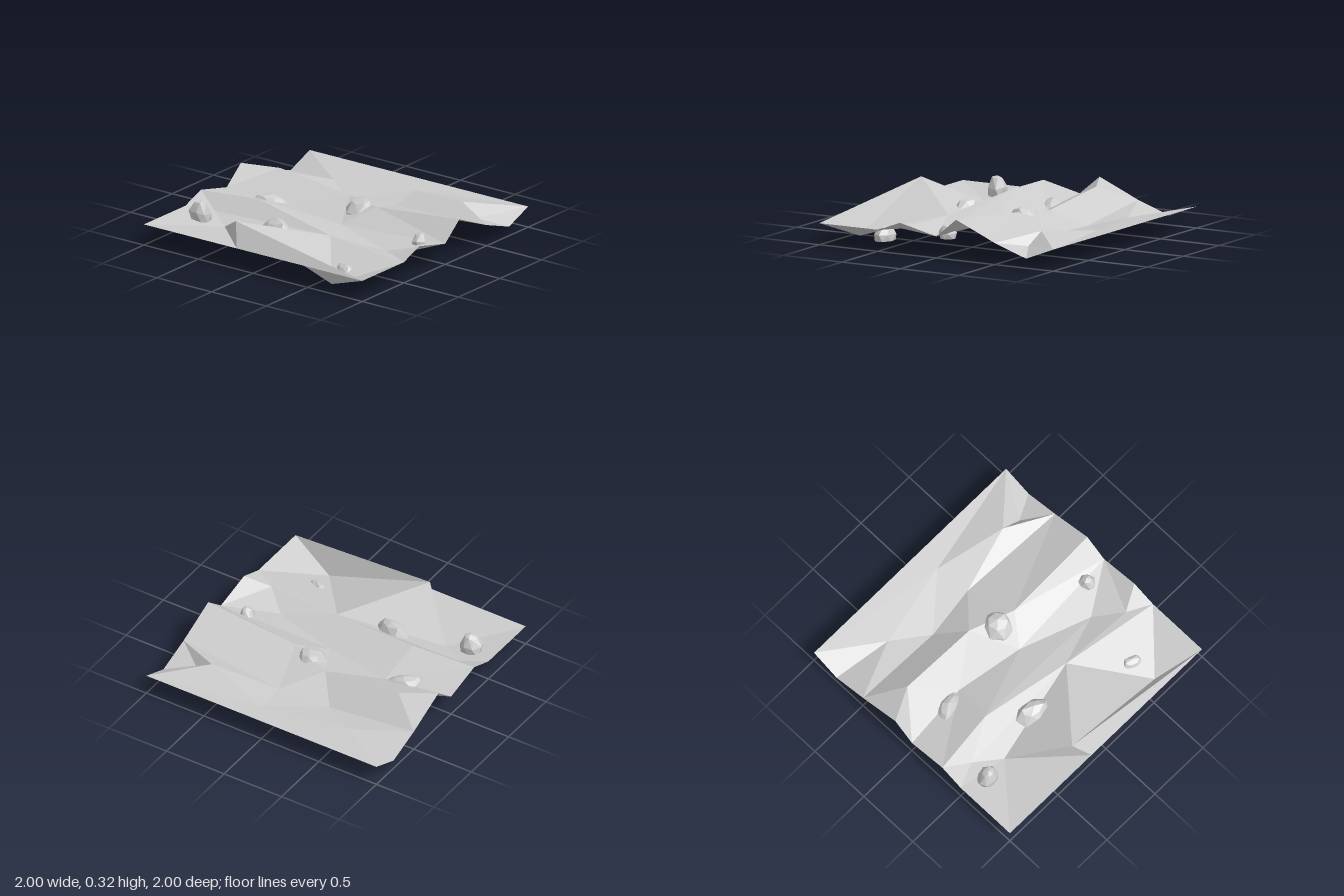
import * as THREE from 'three';

const material = new THREE.MeshStandardMaterial({ color: 0xcccccc, flatShading: true, side: THREE.DoubleSide });

function meshFrom(triangles, name) {
  const geometry = new THREE.BufferGeometry().setFromPoints(triangles.flat());
  geometry.computeVertexNormals();
  const mesh = new THREE.Mesh(geometry, material);
  mesh.name = name;
  return mesh;
}

// Ground ridges and valleys from back to front, each point is x, y, z
const rows = [
  [[-1, .16, -1], [-.15, .16, -1], [1, .16, -1]],
  [[-1, .07, -.77], [-.55, .12, -.69], [.1, .14, -.82], [.64, .21, -.68], [.79, .12, -.66], [1, .07, -.77]],
  [[-1, .16, -.5], [-.27, .08, -.5], [.14, .11, -.55], [1, .16, -.5]],
  [[-1, .3, -.17], [-.74, .28, -.3], [-.1, .21, -.3], [.24, .23, -.17], [1, .3, -.17]],
  [[-1, .16, 0], [-.46, .13, -.05], [.08, .12, .04], [1, .16, 0]],
  [[-1, .23, .31], [-.5, .25, .26], [.63, .09, .23], [.82, .15, .4], [1, .23, .31]],
  [[-1, .16, .5], [-.8, .14, .41], [.23, .16, .37], [1, .16, .5]],
  [[-1, .16, 1], [-.6, .1, .55], [-.24, .32, .89], [.63, .02, .88], [1, .16, 1]],
  [[-1, .16, 1], [-.15, .16, 1], [1, .16, 1]],
].map(row => row.map(p => new THREE.Vector3(...p)));

// How each pair of rows is stitched: a steps along the back row, b along the front row
const stitches = ['bbaabbb', 'abababaa', 'bbaabab', 'abababa', 'abababb', 'babaaba', 'baabbab', 'ababaa'];

function makeGround() {
  const triangles = [];
  stitches.forEach((steps, r) => {
    let i = 0, j = 0;
    for (const step of steps) {
      const a = rows[r][i], b = rows[r + 1][j];
      const next = step === 'a' ? rows[r][++i] : rows[r + 1][++j];
      // the last two rows share their corners, so skip collapsed triangles
      if (!a.equals(b) && !b.equals(next)) triangles.push([a, b, next]);
    }
  });
  return meshFrom(triangles, 'ground');
}

// Faceted rock shell, open underneath, made of jittered rings and a cap
function makeRock({ at, size, yaw, seed }) {
  let state = seed;
  const random = () => (state = (state * 16807) % 2147483647) / 2147483647;
  const sides = 7;
  const rings = [[.9, 0], [1, .42], [.55, .87]].map(([radius, height], level) =>
    Array.from({ length: sides }, (_, k) => {
      const angle = (k + level * .4 + (random() - .5) * .4) / sides * Math.PI * 2;
      const r = radius * (.9 + random() * .18);
      const y = level ? height + (random() - .5) * .16 : 0;
      return new THREE.Vector3(Math.cos(angle) * r, y, -Math.sin(angle) * r);
    }));
  const top = new THREE.Vector3(.1, 1, -.05);
  const triangles = [];
  for (let k = 0; k < sides; k++) {
    const n = (k + 1) % sides;
    for (let l = 0; l < 2; l++) {
      const [low, high] = [rings[l], rings[l + 1]];
      triangles.push([low[k], low[n], high[k]], [low[n], high[n], high[k]]);
    }
    triangles.push([rings[2][k], rings[2][n], top]);
  }
  const rock = meshFrom(triangles, 'rock');
  rock.geometry.scale(...size);
  rock.position.set(...at);
  rock.rotation.y = yaw;
  return rock;
}

const rocks = [
  { at: [.09, .1, -.19], size: [.13, .16, .13], yaw: .4, seed: 1201 },
  { at: [-.61, .05, -.01], size: [.165, .14, .09], yaw: .4, seed: 3407 },
  { at: [-.2, .06, .45], size: [.155, .16, .1], yaw: -.25, seed: 9001 },
  { at: [.79, .11, .03], size: [.06, .1, .07], yaw: .2, seed: 5303 },
  { at: [-.8, .12, .58], size: [.09, .15, .075], yaw: 0, seed: 7103 },
  { at: [.6, 0, .68], size: [.1, .11, .065], yaw: -.35, seed: 8117 },
];

export function createModel() {
  const model = new THREE.Group();
  model.name = 'rockyGround';
  model.add(makeGround(), ...rocks.map(makeRock));
  return model;
}
